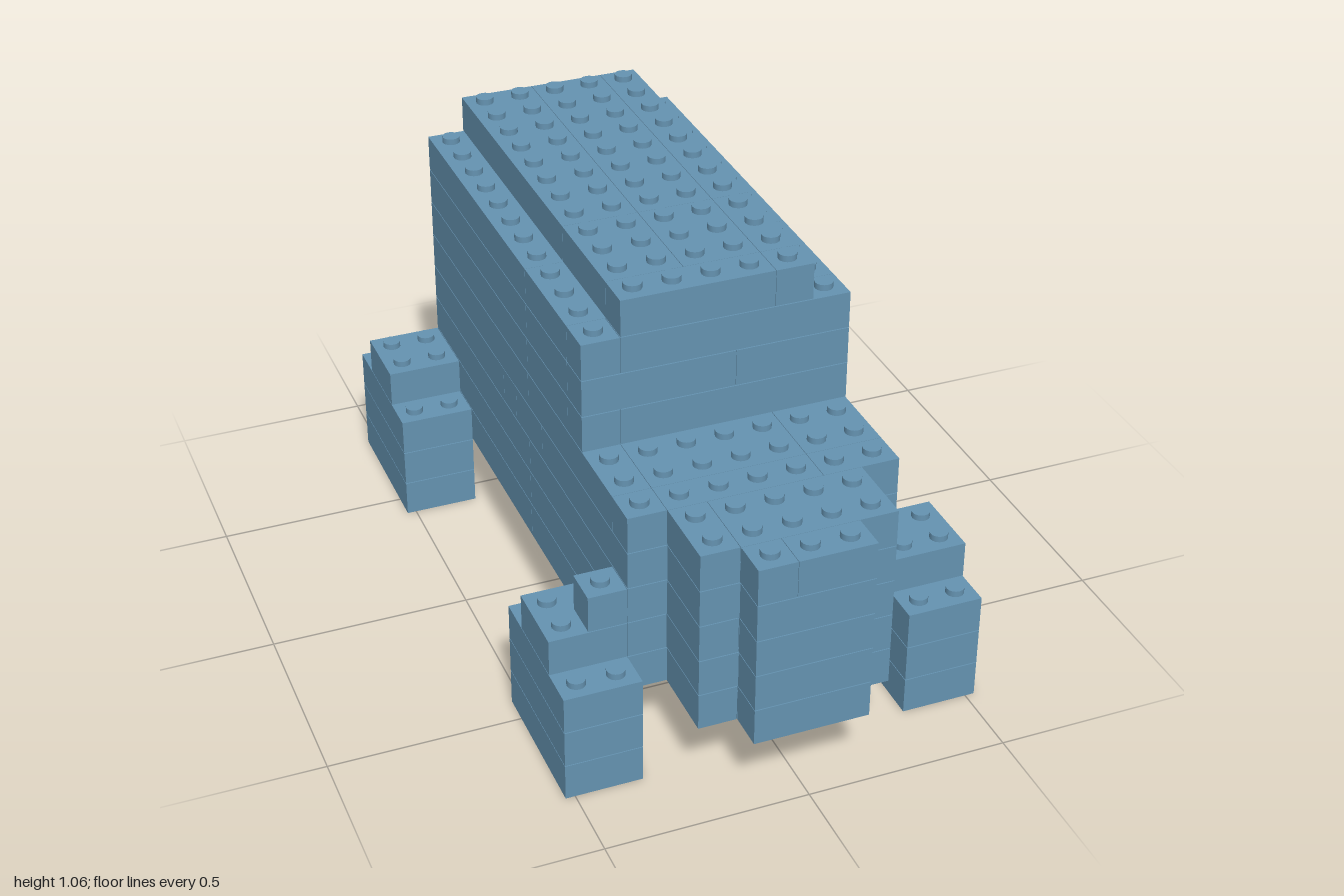
import * as THREE from 'three';
import { mergeGeometries } from 'three/addons/utils/BufferGeometryUtils.js';

const U = 2 / 21;      // one stud pitch, also one layer height
const GAP = 0.0022;    // hairline joint between bricks
const STUD_R = 0.0225, STUD_H = 0.0145;

// Slabs as [layer, x0, x1, z0, z1, xCuts, zCuts] in stud units
const parts = { body: [], nose: [], tail: [], cabin: [], roof: [] };

// Main body: staggered joints per layer
const bodyCuts = [
  [[-1.5, 2.5], [0.5]],
  [[-2.5, 1.5], [0.5]],
  [[-0.5, 2.5], [0.5, 6.5]],
  [[-1.5, 2.5], [-1.5, -0.5, 1.5]],
  [[-2.5, 1.5], [0.5, 6.5]],
];
bodyCuts.forEach(([xc, zc], i) => {
  const layer = i + 2;
  parts.body.push([layer, -3.5, 3.5, -7.5, 7.5, xc, zc]);
  // Stepped nose and tail
  for (const [name, s] of [['nose', 1], ['tail', -1]]) {
    const span = (a, b) => (s > 0 ? [a, b] : [-b, -a]);
    parts[name].push([layer, -2.5, 2.5, ...span(7.5, 9.5), i % 2 ? [1.5] : [-1.5], []]);
    parts[name].push([layer, -1.5, 1.5, ...span(9.5, 10.5), i === 4 ? [-0.5] : [], []]);
  }
});

// Cabin walls and the narrower roof
for (let layer = 7; layer < 10; layer++) {
  parts.cabin.push([layer, -3.5, 3.5, 3.5, 4.5, layer % 2 ? [-2.5] : [0.5], []]);
  parts.cabin.push([layer, -3.5, 3.5, -7.5, 3.5, layer % 2 ? [-0.5, 2.5] : [-2.5, 1.5], [0.5]]);
}
parts.roof.push([10, -2.5, 2.5, 3.5, 4.5, [1.5], []]);
parts.roof.push([10, -2.5, 2.5, -7.5, 3.5, [-0.5, 1.5], [0.5]]);

// Four wheel blocks with a smaller fender brick on top
for (const sx of [1, -1]) for (const sz of [1, -1]) {
  const range = (s, a, b) => (s > 0 ? [a, b] : [-b, -a]);
  const name = (sz > 0 ? 'front' : 'back') + (sx > 0 ? 'Left' : 'Right') + 'Wheel';
  const x = range(sx, 3.5, 5.5);
  parts[name] = [0, 1, 2].map((l) => [l, ...x, ...range(sz, 4.5, 8.5), [], []]);
  parts[name].push([3, ...x, ...range(sz, 5.5, 7.5), [], []]);
}
parts.sideMirror = [[4, -4.5, -3.5, 6.5, 7.5, [], []]];

const cell = (l, x, z) => `${l},${x},${z}`;

// Visit every stud position of a slab
function eachCell([l, x0, x1, z0, z1], fn) {
  for (let x = x0 + 0.5; x < x1; x++) for (let z = z0 + 0.5; z < z1; z++) fn(l, x, z);
}

// Cut a slab into separate bricks with hairline joints
function bricks([l, x0, x1, z0, z1, xCuts, zCuts]) {
  const xs = [x0, ...xCuts, x1], zs = [z0, ...zCuts, z1], out = [];
  for (let i = 0; i < xs.length - 1; i++) for (let j = 0; j < zs.length - 1; j++) {
    const g = new THREE.BoxGeometry(
      (xs[i + 1] - xs[i]) * U - GAP * 0.5, U - GAP, (zs[j + 1] - zs[j]) * U - GAP * 0.5);
    g.translate((xs[i] + xs[i + 1]) / 2 * U, (l + 0.5) * U, (zs[j] + zs[j + 1]) / 2 * U);
    out.push(g);
  }
  return out;
}

export function createModel() {
  const group = new THREE.Group();
  group.name = 'brickCar';
  const blue = new THREE.MeshStandardMaterial({ color: 0x6593b1 });
  blue.name = 'steelBlue';

  // Occupied cells decide which studs stay exposed
  const filled = new Set();
  for (const slabs of Object.values(parts))
    for (const s of slabs) eachCell(s, (l, x, z) => filled.add(cell(l, x, z)));

  for (const [name, slabs] of Object.entries(parts)) {
    const studs = [];
    for (const s of slabs) eachCell(s, (l, x, z) => {
      if (filled.has(cell(l + 1, x, z))) return;
      const g = new THREE.CylinderGeometry(STUD_R, STUD_R, STUD_H + GAP, 16);
      studs.push(g.translate(x * U, (l + 1) * U + (STUD_H - GAP) / 2, z * U));
    });
    const part = new THREE.Group();
    part.name = name;
    const add = (geos, label) => {
      if (!geos.length) return;
      const mesh = new THREE.Mesh(mergeGeometries(geos), blue);
      mesh.name = name + label;
      part.add(mesh);
    };
    add(slabs.flatMap(bricks), 'Bricks');
    add(studs, 'Studs');
    group.add(part);
  }
  return group;
}
